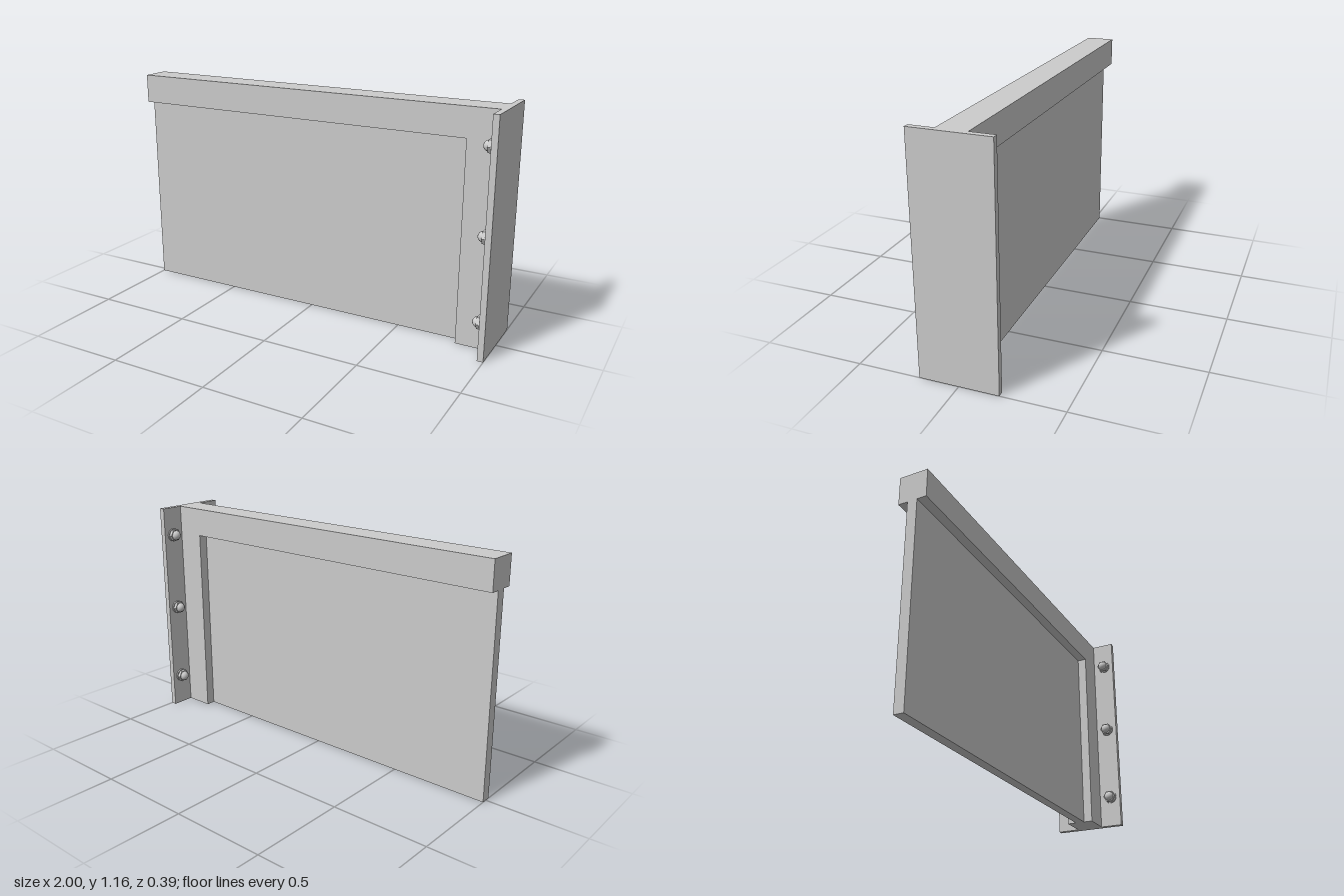
import * as THREE from 'three';

const material = new THREE.MeshStandardMaterial({ color: 0xcccccc });
const flat = new THREE.MeshStandardMaterial({ color: 0xcccccc, flatShading: true });

// Box given by its low and high corners
function box(name, [x0, y0, z0], [x1, y1, z1]) {
  const mesh = new THREE.Mesh(new THREE.BoxGeometry(x1 - x0, y1 - y0, z1 - z0), material);
  mesh.position.set((x0 + x1) / 2, (y0 + y1) / 2, (z0 + z1) / 2);
  mesh.name = name;
  return mesh;
}

// Cap nut along local +y: washer, hexagon and domed end
function capNut() {
  const nut = new THREE.Group();
  nut.name = 'capNut';
  const add = (name, geometry, y, mat) => {
    const mesh = new THREE.Mesh(geometry, mat);
    mesh.name = name;
    mesh.position.y = y;
    nut.add(mesh);
  };
  add('washer', new THREE.CylinderGeometry(0.036, 0.036, 0.008, 32), 0.004, material);
  add('hexNut', new THREE.CylinderGeometry(0.034, 0.034, 0.017, 6), 0.0165, flat);
  add('dome', new THREE.SphereGeometry(0.026, 24, 10, 0, Math.PI * 2, 0, Math.PI / 2), 0.024, material);
  return nut;
}

export function createModel() {
  const model = new THREE.Group();
  model.name = 'boltedPanel';
  const halfFrame = 0.073, height = 1.162, plateX = 0.97;

  // Thin infill panel, centred in the frame
  model.add(box('panel', [-1, 0, -0.025], [0.82, 1.015, 0.025]));

  // L-shaped frame: post and top rail in one piece
  const outline = new THREE.Shape([
    [0.82, 0], [plateX, 0], [plateX, height], [-1, height], [-1, 1.015], [0.82, 1.015],
  ].map(([x, y]) => new THREE.Vector2(x, y)));
  const frame = new THREE.Mesh(
    new THREE.ExtrudeGeometry(outline, { depth: 2 * halfFrame, bevelEnabled: false }), material);
  frame.position.z = -halfFrame;
  frame.name = 'frame';
  model.add(frame);

  // Wide end plate with cap nuts on both sides of the post
  model.add(box('endPlate', [plateX, 0, -0.193], [1, height, 0.193]));
  for (const y of [0.17, 0.59, 1.01]) {
    for (const side of [-1, 1]) {
      const nut = capNut();
      nut.rotation.z = Math.PI / 2;
      nut.position.set(plateX, y, side * 0.136);
      model.add(nut);
    }
  }
  return model;
}
